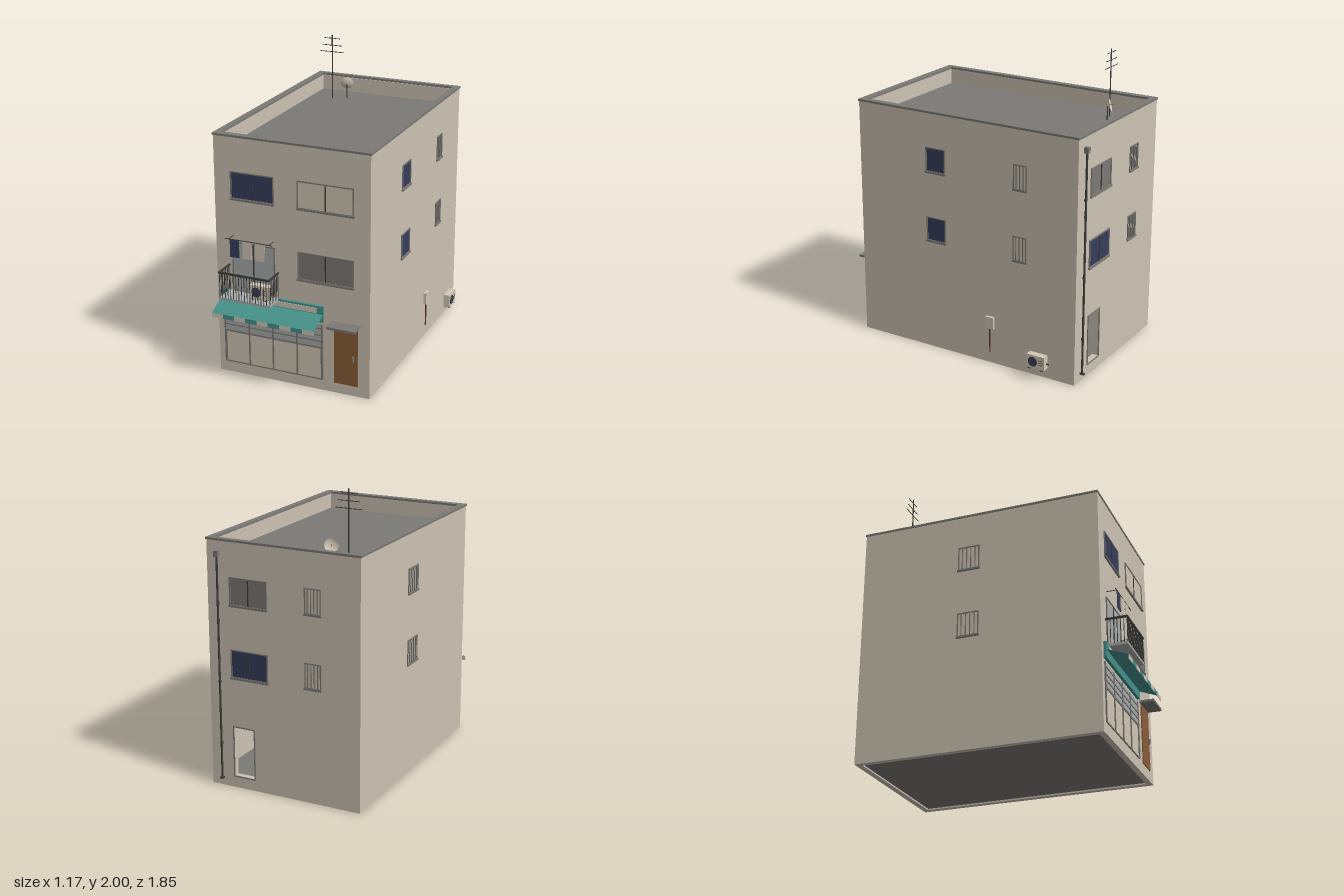
import * as THREE from 'three';

const mat = (name, color, side = THREE.FrontSide) => {
  const m = new THREE.MeshStandardMaterial({ color, side });
  m.name = name;
  return m;
};

export function createModel() {
  const wall = mat('plaster', 0xcdc3b3);
  const grey = mat('concrete grey', 0x7b7a75);
  const dark = mat('dark metal', 0x3c3c3a);
  const pale = mat('pale metal', 0xa8acaa);
  const navy = mat('navy', 0x363d5c);
  const teal = mat('teal', 0x45918a, THREE.DoubleSide);
  const brown = mat('door wood', 0x8a5c38);
  const post = mat('post brown', 0x5a3522);
  const cream = mat('cream', 0xd2c7b5, THREE.DoubleSide);

  const model = new THREE.Group();
  model.name = 'shopHouse';

  const add = (parent, name, geo, m, x = 0, y = 0, z = 0) => {
    const mesh = new THREE.Mesh(geo, m);
    mesh.name = name;
    mesh.position.set(x, y, z);
    parent.add(mesh);
    return mesh;
  };
  // box given by its limits on each axis
  const box = (parent, name, m, x0, x1, y0, y1, z0, z1) =>
    add(parent, name, new THREE.BoxGeometry(x1 - x0, y1 - y0, z1 - z0), m, (x0 + x1) / 2, (y0 + y1) / 2, (z0 + z1) / 2);
  const rod = (parent, name, m, r, len, x, y, z, axis = 'y') => {
    const g = new THREE.CylinderGeometry(r, r, len, 10);
    if (axis === 'x') g.rotateZ(Math.PI / 2);
    if (axis === 'z') g.rotateX(Math.PI / 2);
    return add(parent, name, g, m, x, y, z);
  };
  const rect = (T, x0, x1, y0, y1) => new T().setFromPoints(
    [[x0, y0], [x1, y0], [x1, y1], [x0, y1]].map(p => new THREE.Vector2(...p)));
  const ring = (o, i, depth) => {
    const s = rect(THREE.Shape, ...o);
    s.holes.push(rect(THREE.Path, ...i));
    return new THREE.ExtrudeGeometry(s, { depth, bevelEnabled: false });
  };
  // each facade: local x to the viewer's right, y up, z outwards
  const facade = (name, x, z, turn) => {
    const g = new THREE.Group();
    g.name = name;
    g.position.set(x, 0, z);
    g.rotation.y = turn;
    model.add(g);
    return g;
  };
  const front = facade('frontFacade', 0, 0.765, 0);
  const right = facade('rightFacade', 0.5, 0, Math.PI / 2);
  const back = facade('backFacade', 0, -0.89, Math.PI);
  const left = facade('leftFacade', -0.575, 0, -Math.PI / 2);

  // Shell: walls, slabs, roof
  box(model, 'frontWall', wall, -0.575, 0.5, 0, 1.645, 0.725, 0.765);
  box(model, 'rightWall', wall, 0.46, 0.5, 0, 1.645, -0.85, 0.725);
  box(model, 'leftWall', wall, -0.575, -0.535, 0, 1.645, -0.85, 0.725);
  add(back, 'backWall', ring([-0.5, 0.575, 0, 1.645], [-0.33, -0.18, 0.08, 0.42], 0.04), wall, 0, 0, -0.04);
  box(model, 'groundFloor', grey, -0.535, 0.46, 0.01, 0.08, -0.85, 0.725);
  box(model, 'ceiling', wall, -0.535, 0.46, 0.46, 0.5, -0.85, 0.725);
  box(model, 'roofDeck', grey, -0.535, 0.46, 1.5, 1.54, -0.85, 0.725);
  const coping = add(model, 'coping', ring([-0.58, 0.505, -0.77, 0.895], [-0.535, 0.46, -0.722, 0.855], 0.014), grey, 0, 1.645, 0);
  coping.rotation.x = -Math.PI / 2;

  // Windows
  const windowUnit = (f, name, x0, x1, y0, y1, pane, { bars = 0, mullion = false, sill = true } = {}) => {
    const g = new THREE.Group();
    g.name = name;
    f.add(g);
    const t = 0.008;
    box(g, 'pane', pane, x0 + t / 2, x1 - t / 2, y0 + t / 2, y1 - t / 2, -0.002, 0.002);
    add(g, 'frame', ring([x0, x1, y0, y1], [x0 + t, x1 - t, y0 + t, y1 - t], 0.007), grey);
    const mid = (x0 + x1) / 2;
    if (mullion) box(g, 'mullion', dark, mid - 0.004, mid + 0.004, y0 + t, y1 - t, 0, 0.006);
    if (sill) box(g, 'sill', grey, x0 - 0.004, x1 + 0.004, y0 - 0.008, y0 + 0.004, 0, 0.012);
    for (let i = 1; i <= bars; i++) {
      const x = x0 + (x1 - x0) * i / (bars + 1);
      box(g, 'bar', grey, x - 0.003, x + 0.003, y0, y1, 0.002, 0.009);
    }
  };
  const wide = { mullion: true };
  windowUnit(front, 'upperLeftWindow', -0.46, -0.155, 1.235, 1.42, navy, wide);
  windowUnit(front, 'upperRightWindow', 0.005, 0.39, 1.235, 1.42, cream, wide);
  windowUnit(front, 'middleRightWindow', 0.005, 0.39, 0.755, 0.945, grey, wide);
  windowUnit(front, 'balconyDoor', -0.46, -0.155, 0.6, 0.945, pale, wide);
  windowUnit(back, 'backUpperWindow', -0.34, -0.07, 1.235, 1.42, grey, wide);
  windowUnit(back, 'backMiddleWindow', -0.34, -0.07, 0.755, 0.945, navy, wide);
  for (const y of [0.77, 1.25]) {
    windowUnit(right, 'sideWindow', -0.233, -0.083, y, y + 0.168, navy);
    windowUnit(right, 'grilleWindow', 0.43, 0.53, y, y + 0.168, cream, { bars: 3 });
    windowUnit(back, 'backGrilleWindow', 0.193, 0.308, y, y + 0.168, cream, { bars: 4 });
    windowUnit(left, 'leftSideWindow', -0.2, -0.05, y, y + 0.168, cream, { bars: 4 });
  }
  add(back, 'backDoorFrame', ring([-0.336, -0.174, 0.074, 0.426], [-0.328, -0.182, 0.082, 0.418], 0.006), grey);

  // Shop front with half-lowered shutter
  windowUnit(front, 'shopWindow', -0.525, 0.17, 0.075, 0.305, cream, { sill: false });
  box(front, 'shutter', pale, -0.525, 0.175, 0.305, 0.47, 0, 0.004);
  for (const y of [0.305, 0.35, 0.392, 0.44]) box(front, 'shutterRail', grey, -0.53, 0.178, y - 0.004, y + 0.004, 0, 0.008);
  for (const x of [-0.527, -0.35, -0.178, -0.005, 0.172]) box(front, 'shopPost', grey, x - 0.005, x + 0.005, 0.075, 0.47, 0, 0.009);

  // Sign board and awning
  box(front, 'signBoard', teal, -0.54, 0.185, 0.49, 0.6, 0, 0.02);
  box(front, 'signPanel', cream, -0.49, 0.14, 0.55, 0.587, 0.02, 0.023);
  const slope = new THREE.PlaneGeometry(0.725, Math.hypot(0.14, 0.055));
  slope.rotateX(-Math.atan2(0.14, 0.055));
  add(front, 'awning', slope, teal, -0.1775, 0.5175, 0.09);
  for (let i = 0; i < 9; i++) {
    const w = 0.725 / 9, x = -0.54 + w * i;
    box(front, 'valanceStrip', i % 2 ? teal : cream, x, x + w, 0.46, 0.49, 0.156, 0.16);
  }

  // Front door and canopy
  box(front, 'frontDoor', brown, 0.255, 0.42, 0.072, 0.485, 0, 0.006);
  box(front, 'doorHandle', grey, 0.388, 0.394, 0.25, 0.285, 0.006, 0.022);
  box(front, 'doorCanopy', grey, 0.24, 0.435, 0.49, 0.506, 0, 0.097);

  // Balcony
  const balcony = new THREE.Group();
  balcony.name = 'balcony';
  front.add(balcony);
  box(balcony, 'balconyFloor', pale, -0.488, -0.13, 0.585, 0.602, 0, 0.143);
  box(balcony, 'frontRail', dark, -0.49, -0.128, 0.768, 0.78, 0.136, 0.147);
  for (const x of [-0.485, -0.133]) {
    box(balcony, 'sideRail', dark, x - 0.005, x + 0.005, 0.768, 0.78, 0, 0.147);
    for (let i = 0; i < 6; i++) rod(balcony, 'sideBaluster', dark, 0.0025, 0.17, x, 0.685, 0.01 + i * 0.022);
  }
  for (let i = 0; i <= 18; i++) rod(balcony, 'baluster', dark, 0.0025, 0.17, -0.485 + i * 0.352 / 18, 0.685, 0.141);

  // Washing line
  rod(front, 'laundryPole', dark, 0.003, 0.335, -0.308, 0.985, 0.07, 'x');
  [[-0.44, navy], [-0.35, cream], [-0.26, cream]].forEach(([x, m]) =>
    box(front, 'laundry', m, x, x + 0.065, 0.863, 0.985, 0.068, 0.072));
  for (const x of [-0.45, -0.165]) rod(front, 'laundryBracket', dark, 0.0025, 0.07, x, 0.983, 0.035, 'z');

  // Air conditioners
  const airConditioner = (f, x, y, z) => {
    const g = new THREE.Group();
    g.name = 'airConditioner';
    g.position.set(x, y, z);
    f.add(g);
    box(g, 'casing', cream, -0.065, 0.065, 0.006, 0.1, 0, 0.046);
    for (const s of [-0.045, 0.045]) box(g, 'foot', dark, s - 0.01, s + 0.01, 0, 0.006, 0, 0.046);
    const fan = new THREE.CylinderGeometry(0.032, 0.032, 0.003, 24);
    fan.rotateX(Math.PI / 2);
    add(g, 'fan', fan, navy, -0.019, 0.054, 0.047);
    add(g, 'fanGuard', new THREE.TorusGeometry(0.032, 0.0015, 6, 24), dark, -0.019, 0.054, 0.048);
    for (const h of [0.04, 0.055, 0.07]) box(g, 'vent', dark, 0.025, 0.057, h, h + 0.003, 0.045, 0.048);
    rod(g, 'pipeStub', dark, 0.005, 0.02, 0.073, 0.045, 0.015, 'x');
  };
  airConditioner(front, -0.228, 0.603, 0.05);
  airConditioner(right, 0.645, 0.08, 0.03);

  // Meter box on a post
  box(right, 'meterBox', cream, 0.23, 0.29, 0.25, 0.333, 0, 0.02);
  rod(right, 'meterPost', post, 0.005, 0.17, 0.26, 0.165, 0.008);

  // Drainpipe
  rod(back, 'drainpipe', dark, 0.007, 1.5, -0.42, 0.8, 0.014);
  box(back, 'drainHopper', grey, -0.434, -0.406, 1.545, 1.583, 0, 0.03);
  for (const y of [0.3, 0.72, 1.13, 1.24]) rod(back, 'pipeClip', dark, 0.01, 0.012, -0.42, y, 0.012);
  box(back, 'drainShoe', dark, -0.43, -0.41, 0.05, 0.06, 0, 0.03);

  // Aerial
  rod(model, 'aerialMast', dark, 0.004, 0.46, -0.372, 1.77, -0.645);
  [[1.975, 0.12], [1.925, 0.148], [1.878, 0.182]].forEach(([y, len]) =>
    rod(model, 'aerialBar', dark, 0.0025, len, -0.374, y, -0.648, 'x'));

  // Satellite dish, a shallow bowl facing backwards
  const dish = new THREE.Group();
  dish.name = 'satelliteDish';
  dish.position.set(-0.275, 1.645, -0.685);
  dish.rotation.y = Math.PI + 0.4;
  model.add(dish);
  const bowl = new THREE.LatheGeometry([[0, 0], [0.02, 0.002], [0.035, 0.007], [0.045, 0.013]].map(p => new THREE.Vector2(...p)), 24);
  bowl.rotateX(Math.PI / 2 - 0.25);
  add(dish, 'bowl', bowl, cream);
  rod(dish, 'dishPost', dark, 0.004, 0.1, 0, 1.59 - 1.645, -0.006);
  rod(dish, 'feedArm', dark, 0.002, 0.035, 0, 0.004, 0.017, 'z');
  return model;
}
